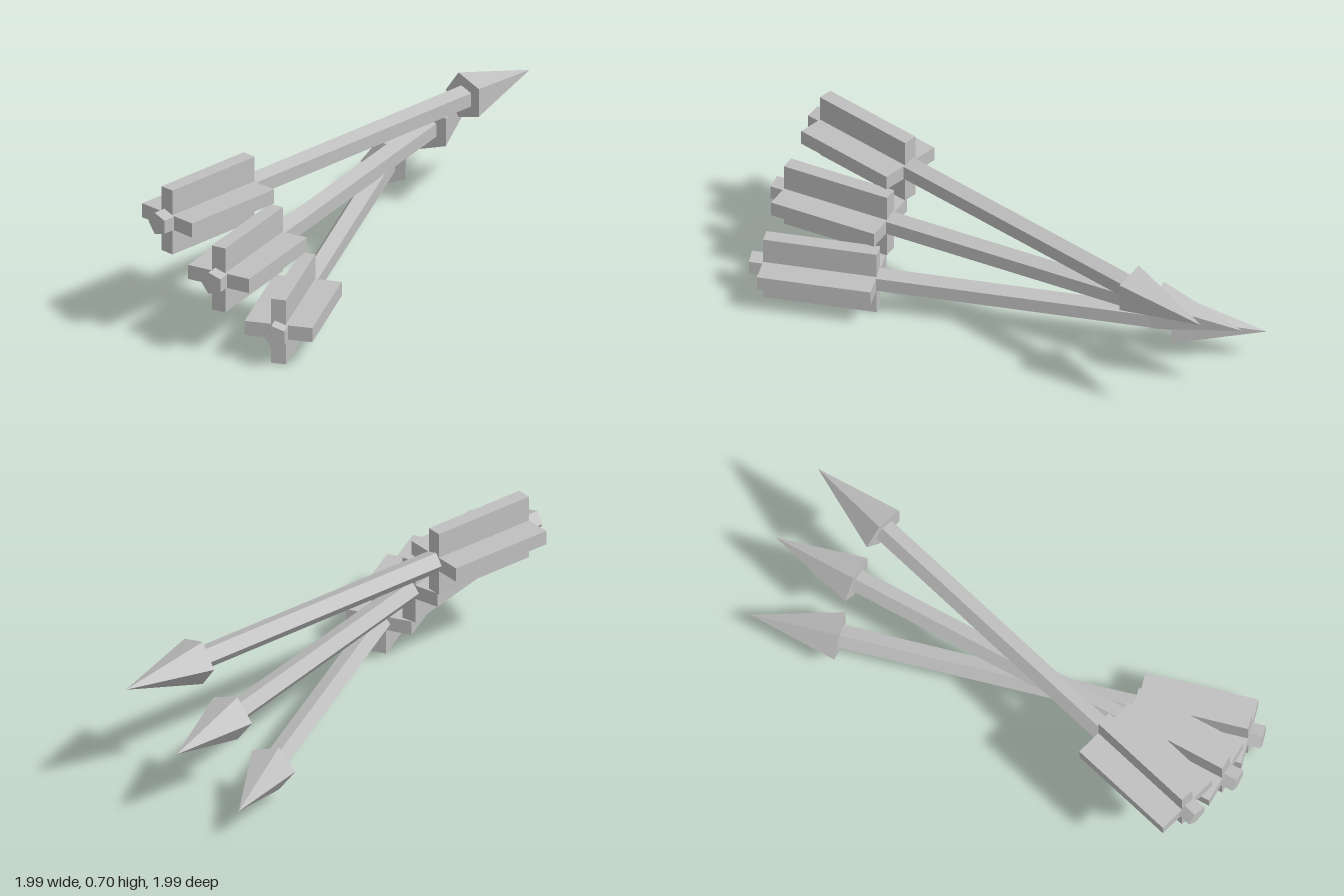
import * as THREE from 'three';

const SIDES = 5;

// Five-sided rod or cone lying along x, with one ridge towards -z
function rod(radiusFront, radiusBack, from, to) {
  const g = new THREE.CylinderGeometry(radiusFront, radiusBack, to - from, SIDES, 1, false, Math.PI);
  g.rotateZ(-Math.PI / 2);
  g.translate((from + to) / 2, 0, 0);
  return g;
}

export function createModel() {
  const model = new THREE.Group();
  model.name = 'arrowBundle';

  const grey = new THREE.MeshStandardMaterial({ color: 0xbfbfbf, flatShading: true });
  grey.name = 'grey';

  const finLength = 0.5, finSpan = 0.3, finThickness = 0.066;
  const parts = {
    shaft: rod(0.0525, 0.0525, -1.12, 0.75),
    head: rod(0, 0.11, 0.75, 1.15),
    uprightFletching: new THREE.BoxGeometry(finLength, finSpan, finThickness).translate(-0.81, 0, 0),
    flatFletching: new THREE.BoxGeometry(finLength, finThickness, finSpan).translate(-0.81, 0, 0),
  };

  // Three identical arrows stacked and fanned around a shared centre
  const arrows = [
    ['lowerArrow', 0.15, 60],
    ['middleArrow', 0.35, 45],
    ['upperArrow', 0.55, 30],
  ];
  for (const [name, y, degrees] of arrows) {
    const arrow = new THREE.Group();
    arrow.name = name;
    for (const [part, geometry] of Object.entries(parts)) {
      const mesh = new THREE.Mesh(geometry, grey);
      mesh.name = part;
      arrow.add(mesh);
    }
    arrow.position.y = y;
    arrow.rotation.y = THREE.MathUtils.degToRad(degrees);
    model.add(arrow);
  }
  return model;
}
